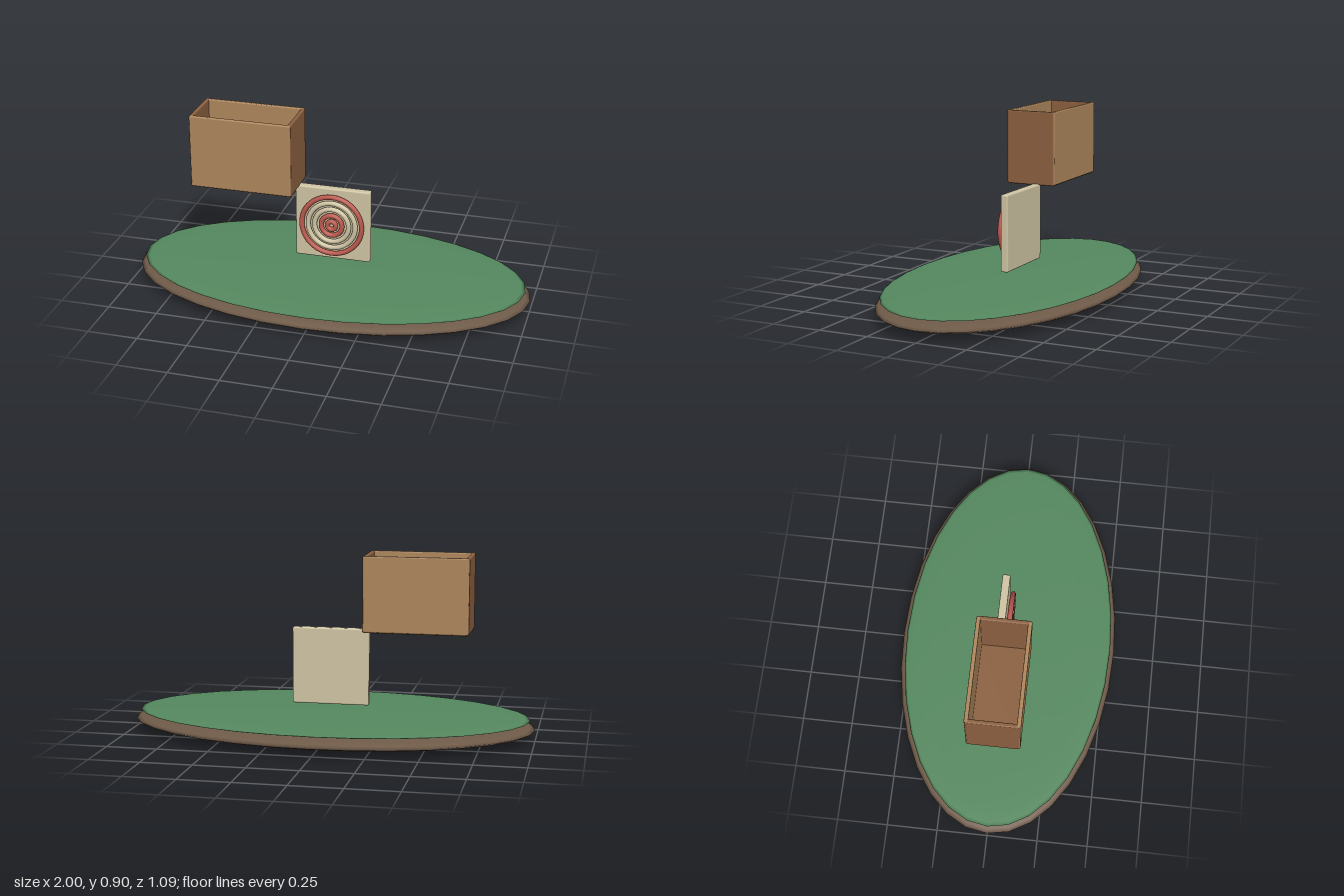
import * as THREE from 'three';
import { RoundedBoxGeometry } from 'three/addons/geometries/RoundedBoxGeometry.js';

function material(name, color) {
  const m = new THREE.MeshStandardMaterial({ color });
  m.name = name;
  return m;
}

export function createModel() {
  const group = new THREE.Group();
  const earth = material('earth brown', 0x6f5a48);
  const grass = material('grass green', 0x55895f);
  const cream = material('cream', 0xd0c5a4);
  const red = material('target red', 0xbd5a4e);
  const tan = material('light wood', 0xae875c);
  const wood = material('dark wood', 0x8c6040);

  function add(name, geometry, mat, x, y, z) {
    const mesh = new THREE.Mesh(geometry, mat);
    mesh.name = name;
    mesh.position.set(x, y, z);
    group.add(mesh);
    return mesh;
  }

  // Softly bevelled panel given by its minimum and maximum corners
  function panel(name, mat, min, max, radius = 0.006) {
    const size = max.map((v, i) => v - min[i]);
    const mid = max.map((v, i) => (v + min[i]) / 2);
    return add(name, new RoundedBoxGeometry(...size, 2, radius), mat, ...mid);
  }

  // Flattened oval island: earth below, grass on top
  function oval(name, mat, y, rx, ry, rz) {
    add(name, new THREE.SphereGeometry(1, 32, 16), mat, 0, y, 0).scale.set(rx, ry, rz);
  }
  oval('earthBase', earth, 0.057, 1, 0.055, 0.545);
  oval('grassTop', grass, 0.102, 0.975, 0.018, 0.523);

  // Target board with concentric rings on its front
  panel('targetBoard', cream, [-0.19, 0.155, -0.05], [0.19, 0.535, -0.011], 0.008);
  const rings = [[0.153, red], [0.12, cream], [0.087, cream], [0.053, red], [0.021, red]];
  rings.forEach(([radius, mat], i) => {
    add('targetRing' + (i + 1), new THREE.TorusGeometry(radius, 0.0125, 12, 48), mat, 0, 0.345, 0.008);
  });

  // Open-topped wooden box: floor, two long walls, two end walls
  panel('boxFloor', wood, [-0.68, 0.528, -0.125], [-0.175, 0.548, 0.125]);
  for (const [name, z] of [['boxFrontWall', 0.12], ['boxBackWall', -0.12]]) {
    panel(name, tan, [-0.682, 0.532, z - 0.01], [-0.173, 0.9, z + 0.01]);
  }
  for (const [name, x] of [['boxRightWall', -0.675], ['boxLeftWall', -0.18]]) {
    panel(name, wood, [x - 0.01, 0.53, -0.126], [x + 0.01, 0.899, 0.126]);
  }

  return group;
}
